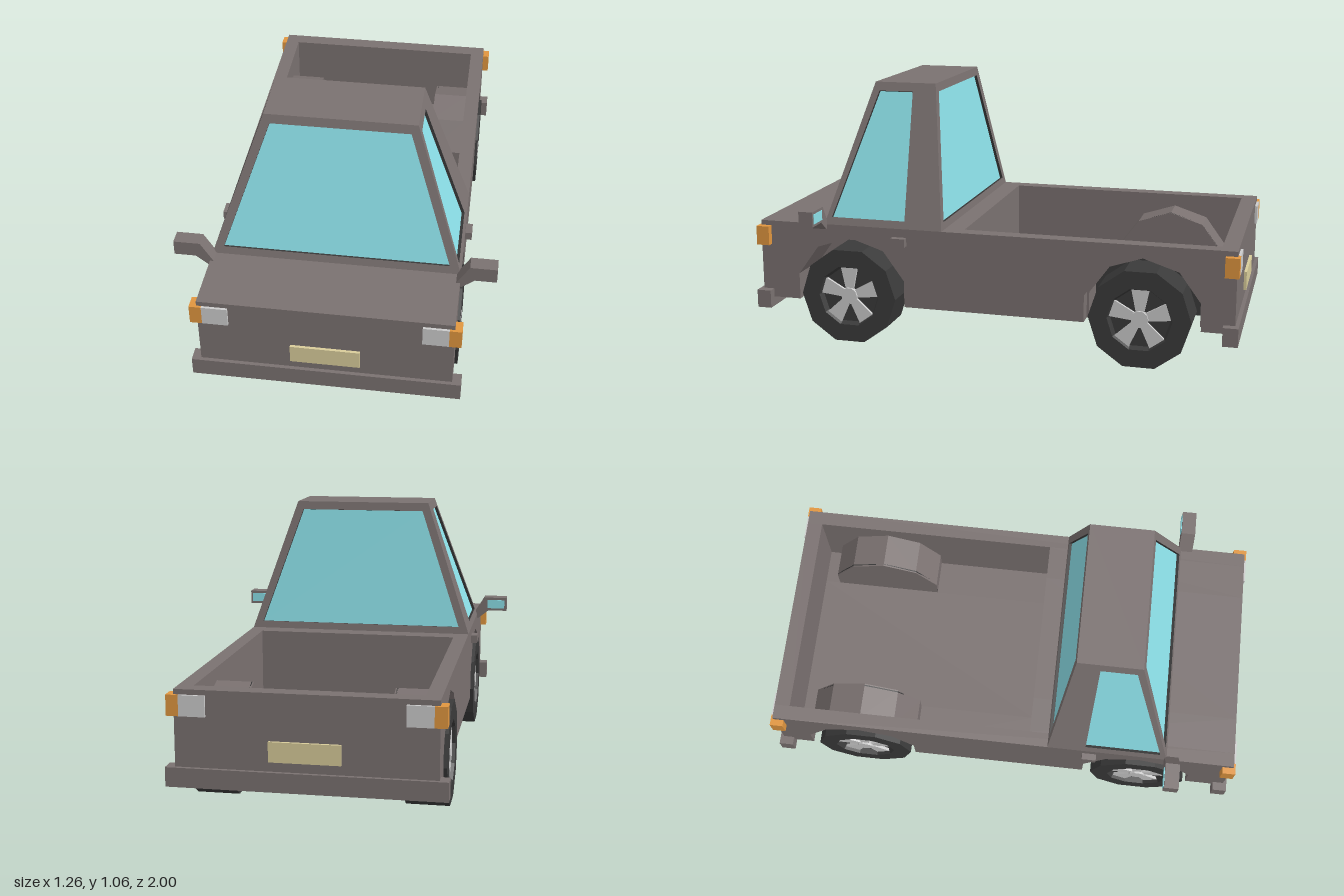
import * as THREE from 'three';

const mat = (color, extra = {}) => new THREE.MeshStandardMaterial({ color, flatShading: true, ...extra });
const paint = mat(0x7a7170);
const dark = mat(0x3a3a3a);
const glass = mat(0x8ce0e8);
const orange = mat(0xe0963f);
const cream = mat(0xd8cc9a);
const light = mat(0xcccccc);

const BOTTOM = 0.165, TOP = 0.495, FLOOR = 0.185;
const FRONT_ARCH = 0.59, REAR_ARCH = -0.623;

function mesh(name, geometry, material) {
  const m = new THREE.Mesh(geometry, material);
  m.name = name;
  return m;
}

// Box given by its lower and upper limits on each axis
function box(name, [x0, x1], [y0, y1], [z0, z1], material = paint) {
  const g = new THREE.BoxGeometry(x1 - x0, y1 - y0, z1 - z0);
  g.translate((x0 + x1) / 2, (y0 + y1) / 2, (z0 + z1) / 2);
  return mesh(name, g, material);
}

// Side profile of [z, y] points extruded from x0 to x1
function slab(name, x0, x1, points, material = paint) {
  const shape = new THREE.Shape(points.map(([z, y]) => new THREE.Vector2(-z, y)));
  const g = new THREE.ExtrudeGeometry(shape, { depth: x1 - x0, bevelEnabled: false });
  g.rotateY(Math.PI / 2).translate(x0, 0, 0);
  return mesh(name, g, material);
}

// Upper part of a ten-sided wheel arch, from low z to high z
function arch(z, r = 0.243) {
  const right = [[0.588, 0.809], [0.951, 0.309]].map(([a, b]) => [z + a * r, 0.2 + b * r]);
  const left = right.map(([a, b]) => [2 * z - a, b]).reverse();
  return [[z - 0.951 * r, BOTTOM], ...left, [z, 0.2 + r], ...right, [z + 0.951 * r, BOTTOM]];
}

// Sloping cab wall: frame round an opening, reveal and set-back pane
function cabWall(name, outer, inner) {
  const o = outer.map(p => new THREE.Vector3(...p));
  const i = inner.map(p => new THREE.Vector3(...p));
  const n = o[1].clone().sub(o[0]).cross(o[3].clone().sub(o[0])).normalize();
  const back = i.map(p => p.clone().addScaledVector(n, -0.012));
  const quads = list => {
    const g = new THREE.BufferGeometry();
    g.setFromPoints(list.flatMap(([a, b, c, d]) => [a, b, c, a, c, d]));
    g.computeVertexNormals();
    return g;
  };
  const frame = [], reveal = [];
  for (let k = 0; k < 4; k++) {
    const j = (k + 1) % 4;
    frame.push([o[k], o[j], i[j], i[k]]);
    reveal.push([i[k], i[j], back[j], back[k]]);
  }
  const group = new THREE.Group();
  group.name = name;
  group.add(mesh(name + 'Frame', quads(frame), paint));
  group.add(mesh(name + 'Reveal', quads(reveal), dark));
  group.add(mesh(name + 'Glass', quads([back]), glass));
  return group;
}

// Wheel facing +x, with a recessed rim and five widening spokes
function wheel(name, z) {
  const group = new THREE.Group();
  group.name = name;
  const profile = [[0, -0.085], [0.205, -0.085], [0.205, 0.085], [0.13, 0.085], [0.12, 0.06], [0, 0.06]];
  const tyre = new THREE.LatheGeometry(profile.map(p => new THREE.Vector2(...p)), 10);
  group.add(mesh('tyre', tyre.rotateZ(-Math.PI / 2), dark));
  const spokePoints = [[-0.016, 0.025], [0.016, 0.025], [0.036, 0.122], [-0.036, 0.122]];
  for (let k = 0; k < 5; k++) {
    const spoke = slab('spoke', 0.055, 0.072, spokePoints, light);
    spoke.rotation.x = k * Math.PI * 2 / 5;
    group.add(spoke);
  }
  const hub = new THREE.CylinderGeometry(0.035, 0.035, 0.025, 10).rotateZ(-Math.PI / 2);
  hub.translate(0.068, 0, 0);
  group.add(mesh('hub', hub, light));
  group.position.set(0.415, 0.195, z);
  return group;
}

// Everything that is mirrored from left to right
function buildSide() {
  const side = new THREE.Group();
  side.add(slab('sidePanel', 0.43, 0.49, [
    [-0.985, BOTTOM], ...arch(REAR_ARCH), ...arch(FRONT_ARCH),
    [0.985, BOTTOM], [0.985, TOP], [-0.985, TOP]]));
  side.add(slab('frontWheelWell', 0.28, 0.43, [
    [0.115, BOTTOM], ...arch(FRONT_ARCH), [0.985, BOTTOM], [0.985, TOP], [0.115, TOP]]));

  // Rear wheel housing standing up in the bed
  const outer = arch(REAR_ARCH), inner = arch(REAR_ARCH, 0.233);
  side.add(slab('rearWheelHousing', 0.28, 0.43, [...outer, ...inner.reverse()]));
  side.add(slab('rearHousingWall', 0.28, 0.285, outer));
  side.add(slab('rearHousingLiner', 0.285, 0.29, outer, dark));
  side.add(box('bedFloorRear', [0.28, 0.43], [BOTTOM, FLOOR], [-0.92, outer[0][0]]));
  side.add(box('bedFloorFront', [0.28, 0.43], [BOTTOM, FLOOR], [outer.at(-1)[0], 0.115]));

  side.add(wheel('frontWheel', 0.6), wheel('rearWheel', -0.615));
  side.add(box('doorHandle', [0.485, 0.517], [0.425, 0.46], [0.345, 0.405]));

  // Corner lamps at both ends
  for (const s of [1, -1]) {
    const range = (a, b) => s > 0 ? [a, b] : [-b, -a];
    side.add(box('lamp', [0.37, 0.47], [0.395, 0.475], range(0.96, 0.995), light));
    side.add(box('turnSignal', [0.47, 0.517], [0.395, 0.475], range(0.94, 0.995), orange));
  }

  // Door mirror on a slanted arm
  const outline = [[0.475, 0.495], [0.495, 0.475], [0.545, 0.515], [0.63, 0.515], [0.63, 0.577], [0.525, 0.577]];
  const mirror = new THREE.ExtrudeGeometry(
    new THREE.Shape(outline.map(p => new THREE.Vector2(...p))), { depth: 0.06, bevelEnabled: false });
  side.add(mesh('mirror', mirror.translate(0, 0, 0.69), paint));
  side.add(box('mirrorGlass', [0.54, 0.62], [0.526, 0.566], [0.687, 0.692], glass));

  // Side wall of the cab; x follows the slope
  const slope = (y, z) => [0.49 - 0.195 * (y - TOP) / 0.57, y, z];
  side.add(cabWall('sideWindow',
    [slope(TOP, 0.7), slope(TOP, 0.195), slope(1.065, 0.275), slope(1.065, 0.535)],
    [slope(0.525, 0.67), slope(0.525, 0.355), slope(1.03, 0.37), slope(1.03, 0.515)]));
  return side;
}

export function createModel() {
  const model = new THREE.Group();
  model.name = 'pickupTruck';

  const left = buildSide();
  left.name = 'leftSide';
  const right = buildSide();
  right.name = 'rightSide';
  right.scale.x = -1;
  model.add(left, right);

  // Centre of the body and the open bed
  model.add(box('hoodBlock', [-0.28, 0.28], [BOTTOM, TOP], [0.115, 0.985]));
  model.add(box('tailgate', [-0.43, 0.43], [BOTTOM, TOP], [-0.985, -0.92]));
  model.add(box('bedFloor', [-0.28, 0.28], [BOTTOM, FLOOR], [-0.92, 0.115]));

  // Bumpers and blank plates
  for (const s of [1, -1]) {
    const range = (a, b) => s > 0 ? [a, b] : [-b, -a];
    const end = s > 0 ? 'front' : 'rear';
    model.add(box(end + 'Bumper', [-0.525, 0.525], [0.125, 0.2], range(0.94, 1)));
    model.add(box(end + 'Plate', [-0.135, 0.135], [0.238, 0.315], range(0.98, 0.996), cream));
  }

  // Front and back walls of the cab; z follows the slope
  const endWall = (name, s, z0, z1) => {
    const at = (x, y) => [s * x, y, z0 + (z1 - z0) * (y - TOP) / 0.57];
    model.add(cabWall(name,
      [at(-0.49, TOP), at(0.49, TOP), at(0.295, 1.065), at(-0.295, 1.065)],
      [at(-0.445, 0.525), at(0.445, 0.525), at(0.27, 1.03), at(-0.27, 1.03)]));
  };
  endWall('windshield', 1, 0.7, 0.535);
  endWall('rearWindow', -1, 0.195, 0.275);
  model.add(box('roof', [-0.295, 0.295], [1.055, 1.065], [0.275, 0.535]));
  return model;
}
